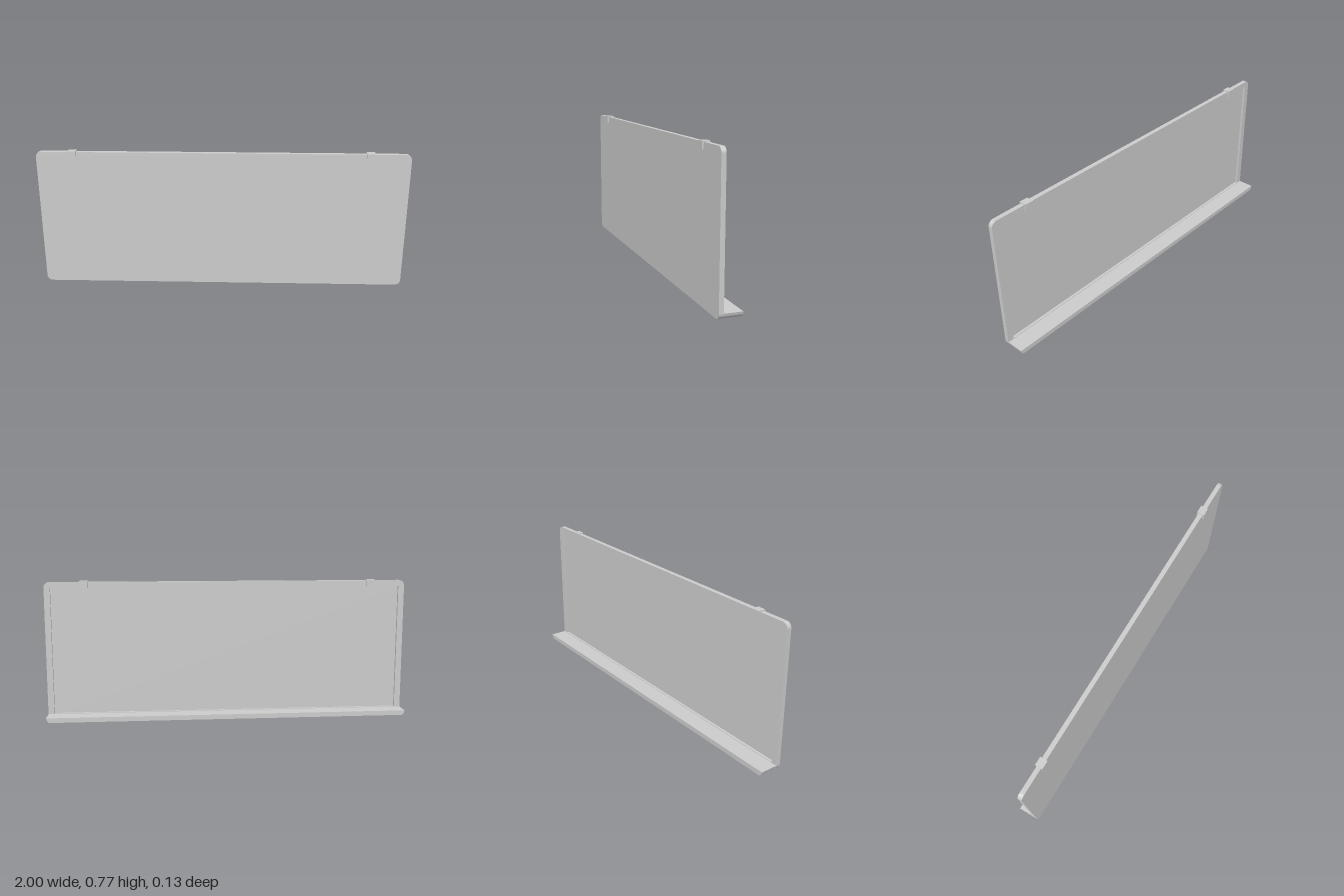
import * as THREE from 'three';

const material = new THREE.MeshStandardMaterial({ color: 0xcccccc, flatShading: true });

const HEIGHT = 0.762, RADIUS = 0.03;
const FRONT = 0.055, BACK = 0.031, RECESS = 0.014, BORDER = 0.033;

// Rounded rectangle outline standing on y = 0
function boardOutline() {
  const s = new THREE.Shape(), r = RADIUS, q = Math.PI / 2;
  s.absarc(1 - r, r, r, -q, 0);
  s.absarc(1 - r, HEIGHT - r, r, 0, q);
  s.absarc(-1 + r, HEIGHT - r, r, q, 2 * q);
  s.absarc(-1 + r, r, r, 2 * q, 3 * q);
  s.closePath();
  return s;
}

// Extrude a front-facing shape between two z positions
function slab(name, shape, zBack, zFront) {
  const geometry = new THREE.ExtrudeGeometry(shape, {
    depth: zFront - zBack, bevelEnabled: false, curveSegments: 6,
  });
  geometry.translate(0, 0, zBack);
  const mesh = new THREE.Mesh(geometry, material);
  mesh.name = name;
  return mesh;
}

// Inverted U that hooks over the top edge of the board
function hangingClip(x, name) {
  const top = 0.767, bottom = 0.727, zf = 0.063, zb = 0.022, width = 0.045;
  const profile = new THREE.Shape([
    [-zf, bottom], [-FRONT, bottom], [-FRONT, HEIGHT], [-BACK, HEIGHT],
    [-BACK, bottom], [-zb, bottom], [-zb, top], [-zf, top],
  ].map(([a, b]) => new THREE.Vector2(a, b)));
  const geometry = new THREE.ExtrudeGeometry(profile, { depth: width, bevelEnabled: false });
  geometry.translate(0, 0, -width / 2);
  geometry.rotateY(Math.PI / 2);
  const mesh = new THREE.Mesh(geometry, material);
  mesh.position.x = x;
  mesh.name = name;
  return mesh;
}

export function createModel() {
  const model = new THREE.Group();
  model.name = 'wallBoard';

  // Flat writing panel
  model.add(slab('panel', boardOutline(), BACK + RECESS, FRONT));

  // Raised border around the back
  const border = boardOutline();
  const w = 1 - BORDER, h = HEIGHT - BORDER;
  border.holes.push(new THREE.Path([
    new THREE.Vector2(-w, BORDER), new THREE.Vector2(-w, h),
    new THREE.Vector2(w, h), new THREE.Vector2(w, BORDER),
  ]));
  model.add(slab('backFrame', border, BACK, BACK + RECESS));

  // Tray along the bottom, its ends following the rounded corners
  const end = [[0.985, 0.004], [0.996, 0.016], [1, 0.03]];
  const tray = new THREE.Shape([
    ...end.map(([x, y]) => new THREE.Vector2(x, y)),
    ...end.reverse().map(([x, y]) => new THREE.Vector2(-x, y)),
  ]);
  model.add(slab('tray', tray, -0.063, BACK));

  // Clips on the top edge
  model.add(hangingClip(0.785, 'leftClip'), hangingClip(-0.805, 'rightClip'));

  return model;
}
